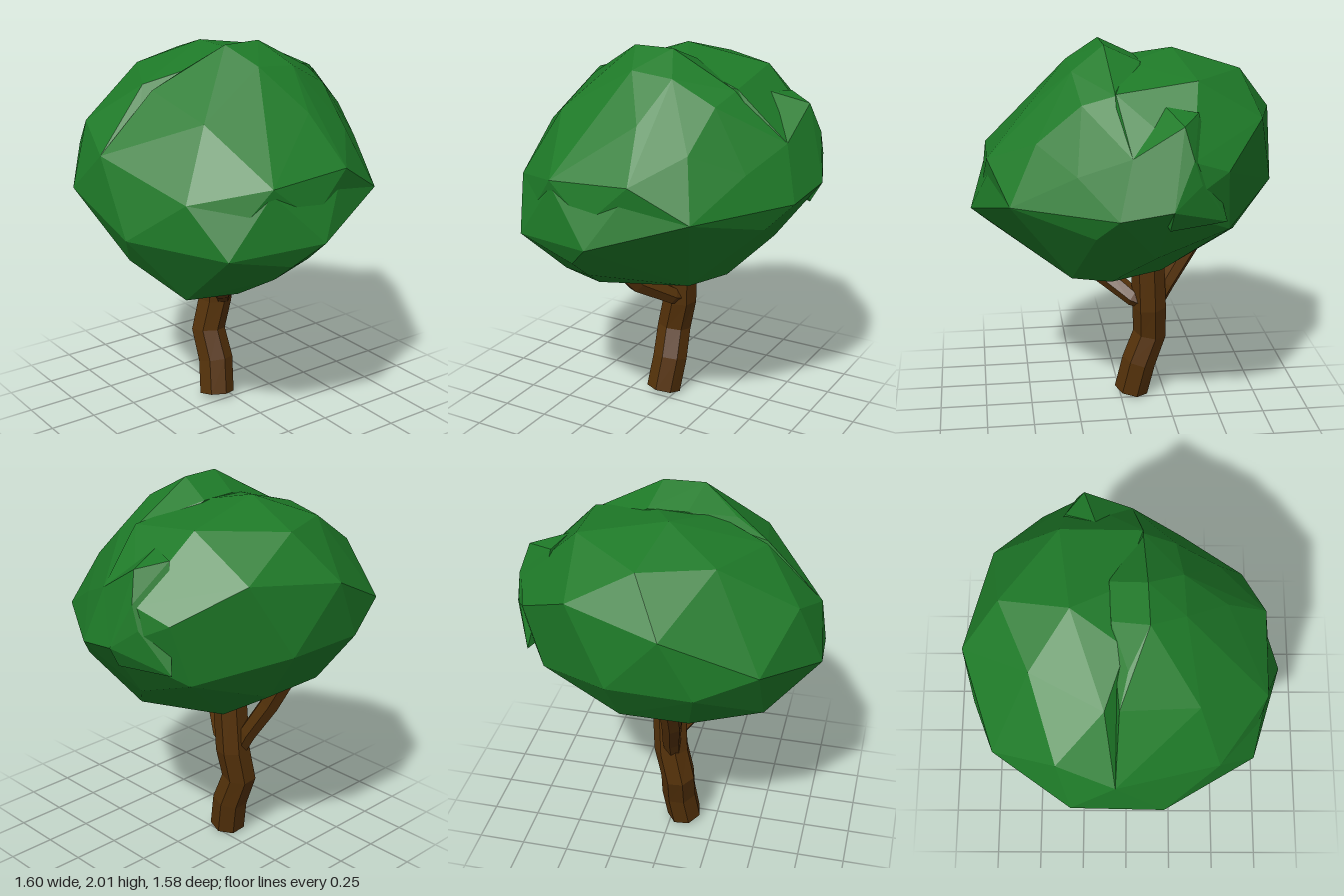
import * as THREE from 'three';
import { ConvexGeometry } from 'three/addons/geometries/ConvexGeometry.js';

const bark = new THREE.MeshStandardMaterial({ color: 0x55320a, flatShading: true });
bark.name = 'bark brown';
const leaf = new THREE.MeshStandardMaterial({ color: 0x1e7a28, flatShading: true });
leaf.name = 'leaf green';

// Faceted limb: a cylinder whose rings follow a bent path [x, y, z, radius]
function limb(name, path, sides) {
  const n = path.length - 1;
  const pts = path.map(([x, y, z]) => new THREE.Vector3(x, y, z));
  const up = new THREE.Vector3(0, 1, 0);
  const turns = pts.map((p, i) => {
    const dir = pts[Math.min(i + 1, n)].clone().sub(pts[Math.max(i - 1, 0)]).normalize();
    return new THREE.Quaternion().setFromUnitVectors(up, dir);
  });
  const geo = new THREE.CylinderGeometry(1, 1, 1, sides, n);
  const pos = geo.attributes.position;
  const v = new THREE.Vector3();
  for (let i = 0; i < pos.count; i++) {
    v.fromBufferAttribute(pos, i);
    const k = Math.round((v.y + 0.5) * n);
    v.setY(0).multiplyScalar(path[k][3]).applyQuaternion(turns[k]).add(pts[k]);
    pos.setXYZ(i, v.x, v.y, v.z);
  }
  geo.computeVertexNormals();
  const mesh = new THREE.Mesh(geo, bark);
  mesh.name = name;
  return mesh;
}

// Corner points [x, y, z] of the overlapping leaf clumps
const clumps = {
  backLeaves: [
    [-0.03, 1.96, -0.26], [0.41, 1.88, -0.32], [0.05, 1.86, -0.6], [-0.3, 1.84, -0.45],
    [-0.48, 1.81, -0.1], [0.43, 1.83, 0.08], [0.1, 1.91, -0.02], [-0.2, 1.89, 0],
    [0.38, 1.68, -0.65], [-0.1, 1.62, -0.79], [-0.68, 1.61, -0.33], [0.73, 1.57, -0.25],
    [0.68, 1.58, 0.03], [-0.76, 1.5, -0.05], [0.67, 1.5, -0.43], [-0.55, 1.4, -0.65],
    [0.8, 1.35, -0.15], [0.76, 1.3, 0.1], [-0.26, 1.3, -0.76], [0.17, 1.3, -0.75],
    [-0.8, 1.29, -0.27], [0.57, 1.18, -0.46], [-0.77, 1.13, 0.19], [-0.55, 1.07, -0.45],
    [0.57, 1.04, -0.1], [-0.2, 1.03, -0.57], [0.15, 1.03, -0.57], [-0.7, 0.99, 0.1],
    [0, 0.97, -0.46], [-0.6, 0.92, 0.02], [0.4, 0.86, 0.1], [0.1, 0.79, -0.2],
    [-0.02, 0.78, 0], [-0.27, 0.755, 0.06], [-0.25, 0.74, 0.2],
  ],
  frontLeaves: [
    [-0.13, 2, 0.11], [0.08, 2, 0.1], [-0.31, 1.88, 0.01], [-0.08, 1.92, -0.07],
    [0.12, 1.92, -0.08], [-0.05, 1.91, 0.28], [0.17, 1.89, 0.27], [0.42, 1.82, 0.08],
    [0.39, 1.77, 0.24], [-0.47, 1.79, -0.03], [-0.42, 1.69, 0.35], [0.1, 1.7, 0.49],
    [0.36, 1.58, 0.46], [-0.05, 1.56, 0.6], [0.68, 1.58, 0.03], [-0.76, 1.5, -0.05],
    [-0.27, 1.43, 0.7], [0.17, 1.46, 0.7], [0.58, 1.47, 0.28], [-0.6, 1.35, 0.46],
    [0.45, 1.29, 0.6], [0.76, 1.3, 0.1], [-0.77, 1.13, 0.19], [-0.45, 1.2, 0.62],
    [-0.05, 1.25, 0.73], [0, 0.95, 0.2],
  ],
  lowerLeaves: [
    [-0.27, 1.4, 0.69], [0.15, 1.41, 0.68], [-0.02, 1.14, 0.79], [-0.49, 1.1, 0.65],
    [0.45, 1.29, 0.6], [0.65, 1.18, 0.2], [-0.6, 1.35, 0.46], [-0.77, 1.13, 0.19],
    [0.76, 1.3, 0.1], [-0.15, 1.02, 0.7], [0.57, 1.04, -0.1], [-0.7, 0.99, 0.1],
    [-0.15, 0.91, 0.56], [-0.6, 0.92, 0.02], [0.28, 0.84, 0.29], [0.4, 0.86, 0.1],
    [-0.48, 0.78, 0.27], [0.1, 0.79, -0.2], [-0.02, 0.78, 0], [-0.27, 0.755, 0.06],
    [-0.25, 0.74, 0.2], [-0.22, 0.78, 0.35],
  ],
  sideLeaves: [
    [0.69, 1.73, -0.21], [0.5, 1.78, -0.15], [0.55, 1.76, -0.3], [0.74, 1.58, -0.25],
    [0.68, 1.58, 0.03], [0.8, 1.35, -0.15], [0.74, 1.24, -0.14], [0.66, 1.25, -0.43],
    [0.74, 1.46, -0.29], [0.4, 1.4, -0.1],
  ],
};

export function createModel() {
  const tree = new THREE.Group();
  tree.name = 'tree';

  // Crooked trunk
  tree.add(limb('trunk', [
    [-0.07, 0.015, -0.065, 0.096], [-0.05, 0.2, -0.105, 0.096], [-0.057, 0.365, -0.165, 0.094],
    [-0.018, 0.54, -0.157, 0.094], [-0.002, 0.91, -0.14, 0.092],
  ], 7));

  // Side branches
  tree.add(limb('frontBranch', [
    [0, 0.57, -0.15, 0.05], [-0.02, 0.59, -0.07, 0.05], [-0.14, 0.7, 0.09, 0.06], [-0.23, 0.9, 0.25, 0.055],
  ], 6));
  tree.add(limb('backBranch', [
    [-0.03, 0.5, -0.17, 0.04], [-0.04, 0.66, -0.25, 0.05], [-0.07, 0.86, -0.375, 0.055], [-0.08, 1.03, -0.47, 0.055],
  ], 6));

  // Faceted crown
  const crown = new THREE.Group();
  crown.name = 'crown';
  for (const [name, corners] of Object.entries(clumps)) {
    const geo = new ConvexGeometry(corners.map((p) => new THREE.Vector3(...p)));
    const clump = new THREE.Mesh(geo, leaf);
    clump.name = name;
    crown.add(clump);
  }
  tree.add(crown);
  return tree;
}
